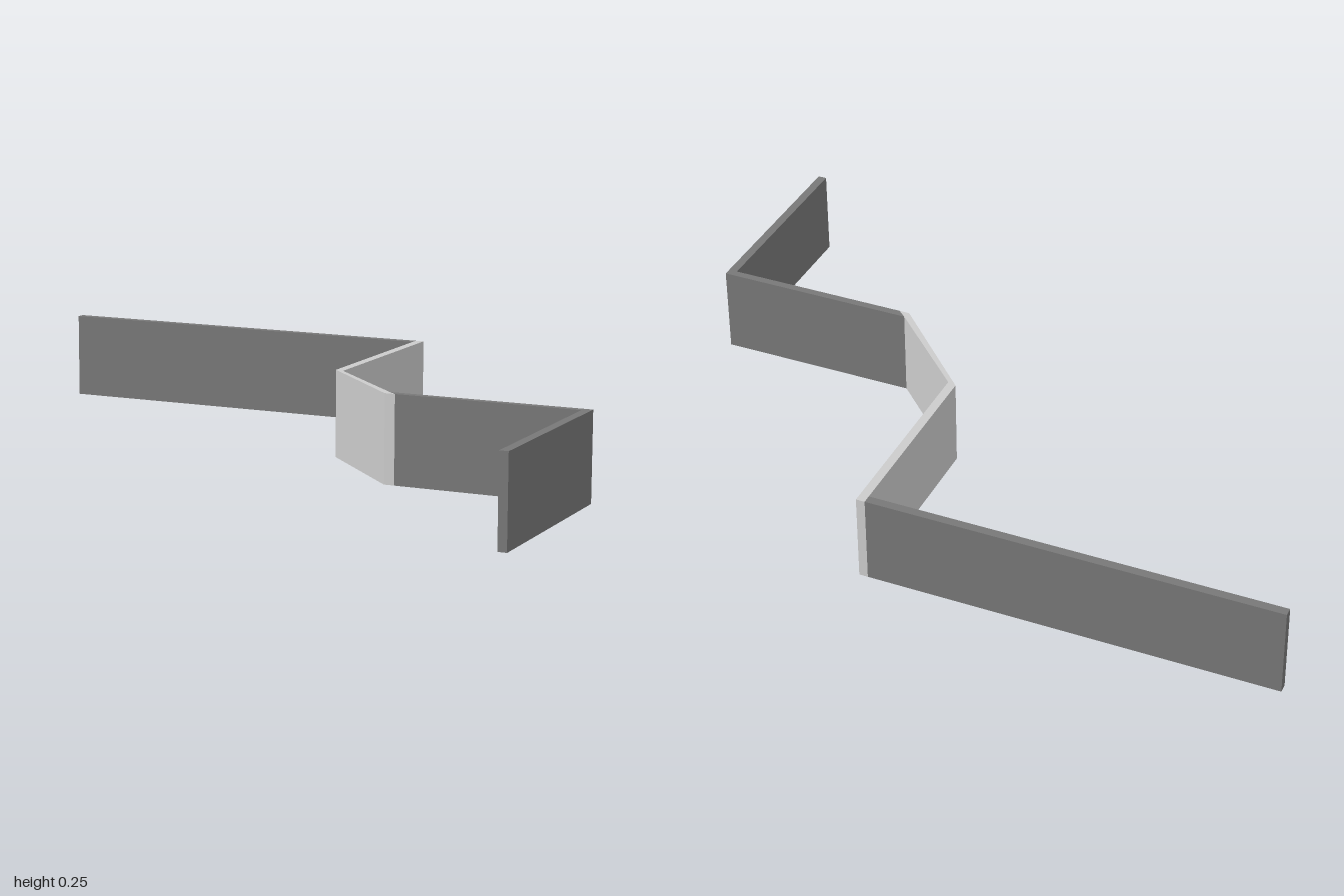
import * as THREE from 'three';

const HEIGHT = 0.25;

// Extrudes a plan outline given as [x, z] points straight up from the ground
function wall(name, plan, color) {
  const shape = new THREE.Shape(plan.map(([x, z]) => new THREE.Vector2(x, -z)));
  const geometry = new THREE.ExtrudeGeometry(shape, { depth: HEIGHT, bevelEnabled: false });
  geometry.rotateX(-Math.PI / 2);
  const mesh = new THREE.Mesh(geometry, new THREE.MeshStandardMaterial({ color, flatShading: true }));
  mesh.name = name;
  return mesh;
}

const rect = (x0, x1, z0, z1) => [[x0, z0], [x1, z0], [x1, z1], [x0, z1]];

export function createModel() {
  const LIGHT = 0xcccccc, DARK = 0x777777;
  const group = new THREE.Group();
  group.name = 'zigzagWall';

  group.add(
    // long straight run at the back
    wall('backWall', rect(-1, 0.15, -0.71, -0.685), DARK),
    // connecting wall, closing the back corner with its end
    wall('middleWall', [[0.15, -0.71], [0.175, -0.71], [0.175, -0.135], [0.15, -0.142]], LIGHT),
    // slanted panel with a short return onto the front run
    wall('diagonalWall', [[0.15, -0.142], [0.175, -0.135], [0.425, 0.11], [0.45, 0.132], [0.42, 0.132]], LIGHT),
    // front run
    wall('frontWall', [[0.425, 0.11], [0.975, 0.11], [0.975, 0.132], [0.45, 0.132]], DARK),
    // end wall reaching forward
    wall('endWall', rect(0.975, 1, 0.11, 0.71), DARK),
  );
  return group;
}
